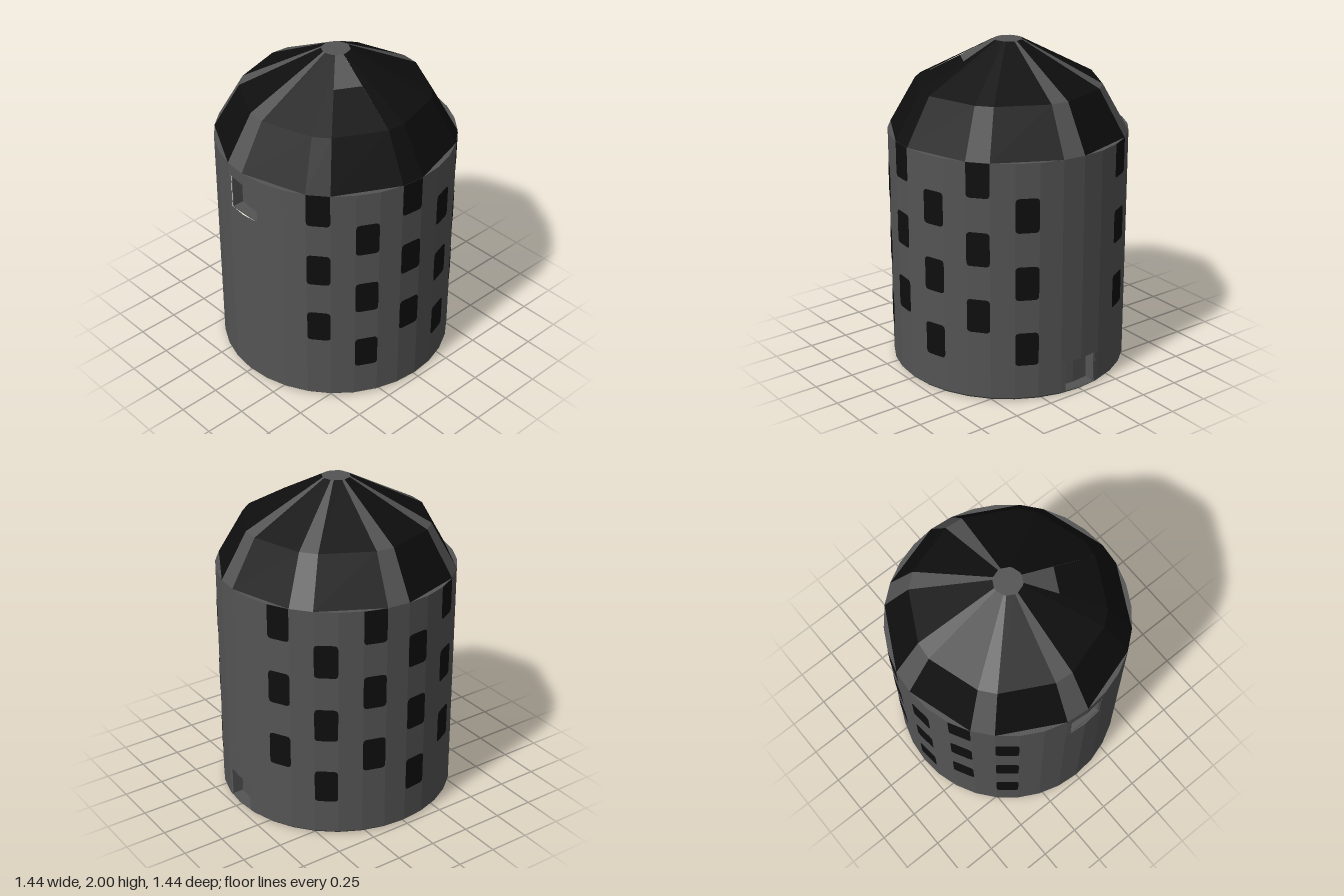
import * as THREE from 'three';

const concrete = new THREE.MeshStandardMaterial({ color: 0x545454, flatShading: true });
concrete.name = 'greyConcrete';
const black = new THREE.MeshStandardMaterial({ color: 0x0e0e0e, flatShading: true });
black.name = 'blackPanel';

const R = 0.72, STEP = 11.25, EAVE = 1.467, BASE = 0.015;
const rad = THREE.MathUtils.degToRad;

function add(parent, name, geometry, material) {
  const mesh = new THREE.Mesh(geometry, material);
  mesh.name = name;
  parent.add(mesh);
  return mesh;
}

// Curved piece of wall between two azimuths (0 = front, 90 = +x)
function arc(parent, name, a0, a1, segs, y0, y1, r = R) {
  const g = new THREE.CylinderGeometry(r, r, y1 - y0, segs, 1, true, rad(a0), rad(a1 - a0));
  g.translate(0, (y0 + y1) / 2, 0);
  return add(parent, name, g, concrete);
}

// Faceted roof slice between two azimuths, running up a [radius, y] profile
function slice(a0, a1, profile) {
  const pos = [];
  const at = (a, [r, y]) => [r * Math.sin(rad(a)), y, r * Math.cos(rad(a))];
  for (let i = 0; i + 1 < profile.length; i++) {
    const a = at(a0, profile[i]), b = at(a1, profile[i]);
    const c = at(a1, profile[i + 1]), d = at(a0, profile[i + 1]);
    pos.push(...a, ...b, ...c, ...a, ...c, ...d);
  }
  const g = new THREE.BufferGeometry();
  g.setAttribute('position', new THREE.Float32BufferAttribute(pos, 3));
  g.computeVertexNormals();
  return g;
}

function roundedRect(w, h, r) {
  const s = new THREE.Shape();
  const x = w / 2, y = h / 2;
  s.moveTo(-x + r, -y);
  s.lineTo(x - r, -y);
  s.quadraticCurveTo(x, -y, x, -y + r);
  s.lineTo(x, y - r);
  s.quadraticCurveTo(x, y, x - r, y);
  s.lineTo(-x + r, y);
  s.quadraticCurveTo(-x, y, -x, y - r);
  s.lineTo(-x, -y + r);
  s.quadraticCurveTo(-x, -y, -x + r, -y);
  return new THREE.ShapeGeometry(s, 4);
}

// Wall section with a small recessed opening
function openingSection(name, y0, y1) {
  const g = new THREE.Group();
  g.name = name;
  const half = 8.8, h = y1 - y0, mid = (y0 + y1) / 2;
  arc(g, 'wallAbove', -STEP, STEP, 2, y1, EAVE);
  if (y0 > BASE) arc(g, 'wallBelow', -STEP, STEP, 2, BASE, y0);
  arc(g, 'jambWall', -STEP, -half, 1, y0, y1);
  arc(g, 'jambWall', half, STEP, 1, y0, y1);
  arc(g, 'recessBack', -STEP, STEP, 2, y0, y1, 0.645);
  for (const s of [-1, 1]) {
    add(g, 'recessSide', new THREE.BoxGeometry(0.008, h, 0.07), concrete)
      .position.set(s * 0.112, mid, 0.669);
    add(g, 'recessLedge', new THREE.BoxGeometry(0.22, 0.008, 0.07), concrete)
      .position.set(0, mid + s * (h / 2 + 0.003), 0.669);
  }
  return g;
}

export function createModel() {
  const model = new THREE.Group();
  model.name = 'tower';

  // Base and wall
  add(model, 'base', new THREE.CylinderGeometry(R, 0.705, BASE, 32), concrete)
    .position.y = BASE / 2;
  arc(model, 'leftWall', STEP, 180 - STEP, 14, BASE, EAVE);
  arc(model, 'rightWall', 180 + STEP, 360 - STEP, 14, BASE, EAVE);
  model.add(openingSection('frontHatch', 1.18, 1.39));
  const door = openingSection('backDoor', BASE, 0.205);
  door.rotation.y = Math.PI;
  model.add(door);

  // Ledge closing the top of the wall under the roof
  const ledge = new THREE.CircleGeometry(R, 32).rotateX(-Math.PI / 2);
  add(model, 'eaveLedge', ledge, concrete).position.y = EAVE;

  // Staggered windows, six columns on each side
  const pane = roundedRect(0.138, 0.207, 0.025);
  const apothem = R * Math.cos(rad(STEP / 2)) + 0.002;
  for (const side of [1, -1]) {
    for (let k = 0; k < 6; k++) {
      const high = (k % 2 === 0) === (side === 1);
      const az = rad(side * (3.5 + 2 * k) * STEP);
      for (let j = 0; j < 3; j++) {
        const w = add(model, 'window', pane, black);
        const y = (high ? 0.535 : 0.33) + j * 0.4135;
        w.position.set(apothem * Math.sin(az), y, apothem * Math.cos(az));
        w.rotation.y = az;
      }
      if (high) { // upper windows run square into the eave
        const t = add(model, 'windowHead', new THREE.PlaneGeometry(0.138, 0.06), black);
        t.position.set(apothem * Math.sin(az), EAVE - 0.03, apothem * Math.cos(az));
        t.rotation.y = az;
      }
    }
  }

  // Two-pitch roof: eight wide panels separated by narrow ribs
  const eave = [R, EAVE], bend = [0.562, 1.745], split = [0.286, 1.89], top = [0.085, 2];
  const cap = new THREE.Shape();
  for (let k = 0; k < 8; k++) {
    const a = 45 * k;
    const open = k === 1; // panel whose upper end is uncovered
    add(model, 'roofPanel', slice(a, a + 33.75, open ? [eave, bend, split] : [eave, bend, top]), black);
    if (open) add(model, 'roofHatch', slice(a, a + 33.75, [split, top]), concrete);
    const darkRib = k >= 1 && k <= 3;
    add(model, 'roofRib', slice(a - STEP, a, [eave, bend, top]), darkRib ? black : concrete);
    for (const b of [a, a + 33.75]) {
      const x = top[0] * Math.sin(rad(b)), z = top[0] * Math.cos(rad(b));
      if (k === 0 && b === 0) cap.moveTo(x, -z); else cap.lineTo(x, -z);
    }
  }
  add(model, 'roofCap', new THREE.ShapeGeometry(cap).rotateX(-Math.PI / 2), concrete)
    .position.y = 2;

  return model;
}
